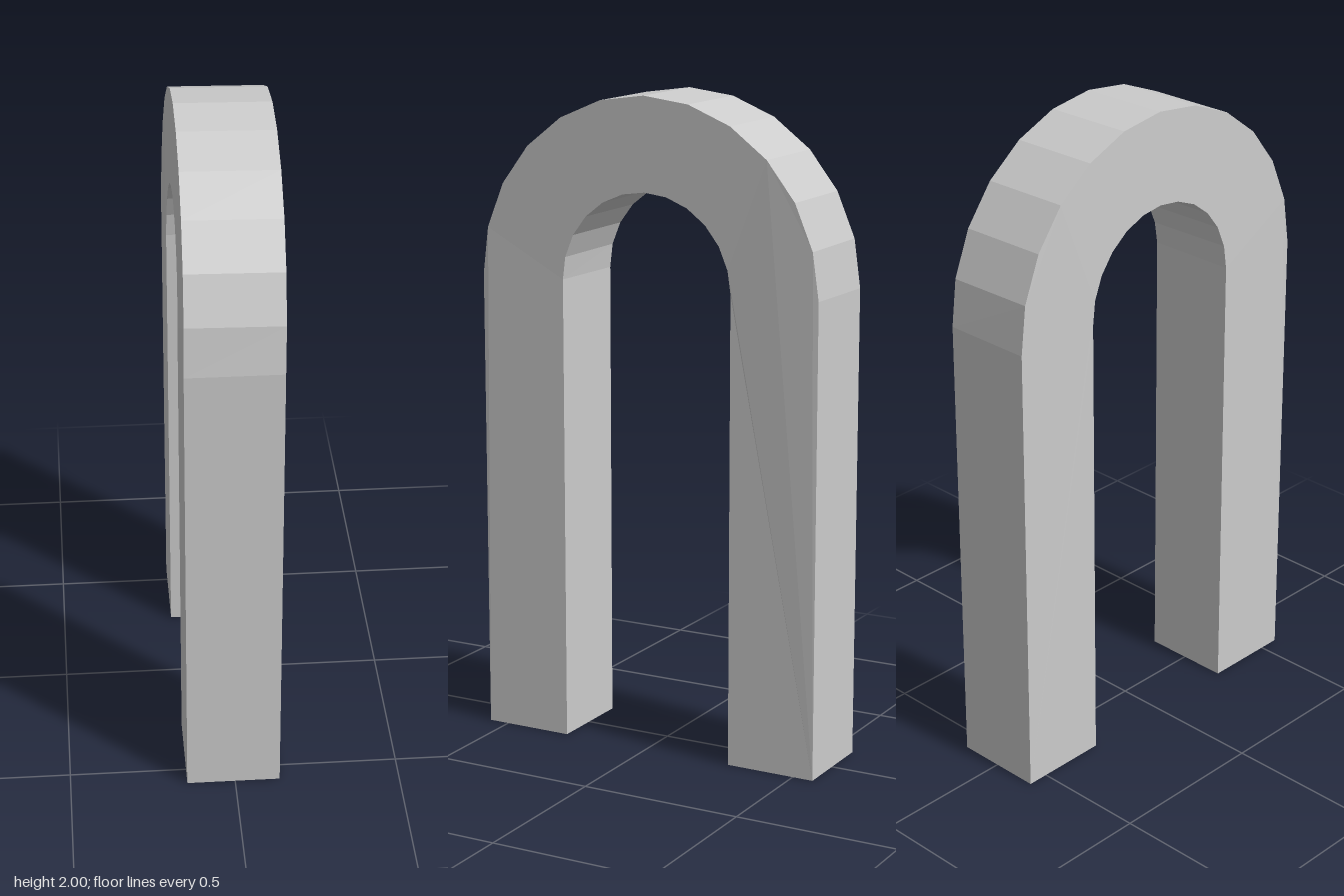
import * as THREE from 'three';

export function createModel() {
  const group = new THREE.Group();
  const outer = 0.565, inner = 0.283, spring = 1.435, width = 0.282;

  // Arch outline: two straight legs joined by a half ring
  const shape = new THREE.Shape();
  shape.moveTo(outer, 0);
  shape.lineTo(outer, spring);
  shape.absarc(0, spring, outer, 0, Math.PI, false);
  shape.lineTo(-outer, 0);
  shape.lineTo(-inner, 0);
  shape.lineTo(-inner, spring);
  shape.absarc(0, spring, inner, Math.PI, 0, true);
  shape.lineTo(inner, 0);
  shape.closePath();

  const geometry = new THREE.ExtrudeGeometry(shape, {
    depth: width, bevelEnabled: false, curveSegments: 6, // 12 facets per half circle
  });
  geometry.rotateY(Math.PI / 2);
  geometry.translate(-0.146, 0, 0);

  // The curved top leans very slightly towards +x
  const lean = 0.016, pos = geometry.attributes.position;
  for (let i = 0; i < pos.count; i++) {
    const x = pos.getX(i), rise = pos.getY(i) - spring;
    if (rise > 0.001) pos.setXYZ(i, x + lean * rise, spring + rise - lean * (x + 0.146), pos.getZ(i));
  }
  geometry.computeVertexNormals();

  const arch = new THREE.Mesh(geometry, new THREE.MeshStandardMaterial({ color: 0xcccccc, flatShading: true }));
  arch.name = 'arch';
  group.add(arch);
  return group;
}
